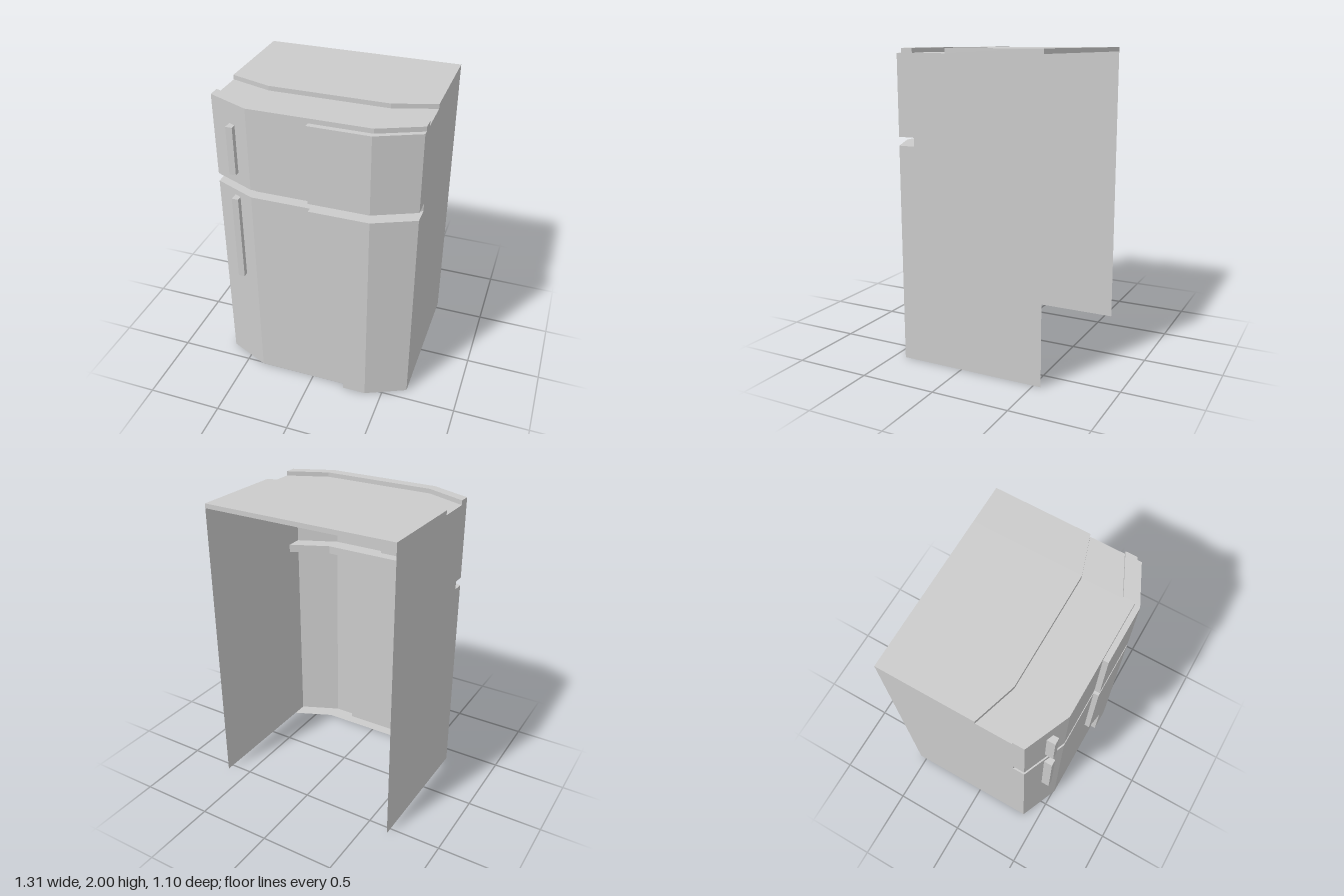
import * as THREE from 'three';
import { mergeGeometries } from 'three/addons/utils/BufferGeometryUtils.js';

const material = new THREE.MeshStandardMaterial({ color: 0xcccccc, flatShading: true, side: THREE.DoubleSide });

// Half width, bend positions and main heights
const W = 0.655, BEND_L = -0.38, BEND_R = 0.39, BACK = -0.55;
const TOP = 2, STEP = 1.97, GAP_LOW = 1.405, GAP_HIGH = 1.46;
const EDGE = 0.005, EDGE_LOW = 0.235;

// Bowed outlines across the width: [z at the sides, z in the middle]
const REAR = [BACK, BACK], RIDGE = [0.085, 0.17], INNER = [0.313, 0.435], DOOR = [0.39, 0.51], PANEL = [0.423, 0.545];

function depth([side, mid], x) {
  if (x < BEND_L) return THREE.MathUtils.mapLinear(x, -W, BEND_L, side, mid);
  if (x > BEND_R) return THREE.MathUtils.mapLinear(x, BEND_R, W, mid, side);
  return mid;
}

// Bowed line at one height between two x positions
function line(outline, y, x0 = -W, x1 = W) {
  const xs = [x0, ...[BEND_L, BEND_R].filter(b => b > x0 && b < x1), x1];
  return xs.map(x => [x, y, depth(outline, x)]);
}

// Flat-faced strip between two lines of points
function ribbon(a, b) {
  const pos = [];
  for (let i = 0; i + 1 < a.length; i++) {
    pos.push(...a[i], ...a[i + 1], ...b[i + 1], ...a[i], ...b[i + 1], ...b[i]);
  }
  const g = new THREE.BufferGeometry();
  g.setAttribute('position', new THREE.Float32BufferAttribute(pos, 3));
  g.computeVertexNormals();
  return g;
}

const toShape = pts => new THREE.Shape(pts.map(p => new THREE.Vector2(...p)));
const rect = (x0, y0, x1, y1) => [[x0, y0], [x1, y0], [x1, y1], [x0, y1]];

// Polygon in x and y laid onto a bowed outline, with an optional opening
function sheet(outline, pts, hole) {
  const shape = toShape(pts);
  if (hole) shape.holes.push(toShape(hole));
  const g = new THREE.ShapeGeometry(shape);
  const p = g.attributes.position;
  for (let i = 0; i < p.count; i++) p.setZ(i, depth(outline, p.getX(i)));
  const flat = g.toNonIndexed();
  flat.deleteAttribute('uv');
  flat.computeVertexNormals();
  return flat;
}

export function createModel() {
  const model = new THREE.Group();
  model.name = 'refrigerator';
  const add = (name, ...geos) => {
    const mesh = new THREE.Mesh(geos.length > 1 ? mergeGeometries(geos) : geos[0], material);
    mesh.name = name;
    model.add(mesh);
  };

  // Side walls, notched at the door gap and the top groove
  for (const s of [1, -1]) {
    const front = s > 0 ? PANEL[0] : DOOR[0];
    const pts = [
      [BACK, 0], [front, 0], [front, GAP_LOW], [INNER[0], GAP_LOW], [INNER[0], GAP_HIGH], [front, GAP_HIGH],
      [front, STEP], [DOOR[0], STEP], [DOOR[0], TOP], [INNER[0], TOP], [INNER[0], STEP],
      [RIDGE[0], STEP], [RIDGE[0], TOP], [BACK, TOP],
    ].map(([z, y]) => [-s * z, y]);
    const wall = new THREE.ShapeGeometry(toShape(pts));
    wall.rotateY(s * Math.PI / 2).translate(s * W, 0, 0);
    add(s > 0 ? 'leftWall' : 'rightWall', wall);
  }

  // Top: rear cover, groove and the lip above the door
  const rearLine = [-W, BEND_L, BEND_R, W].map(x => [x, TOP, BACK]);
  add('topCover', ribbon(line(RIDGE, TOP), rearLine), ribbon(line(RIDGE, STEP), line(RIDGE, TOP)));
  add('topGroove', ribbon(line(INNER, STEP), line(RIDGE, STEP)), ribbon(line(INNER, TOP), line(INNER, STEP)));
  add('topLip', ribbon(line(DOOR, TOP), line(INNER, TOP)));
  add('rearRail', ribbon(line(REAR, TOP), line(REAR, STEP)));

  // Doors: plain side with handle openings
  const handles = [
    { name: 'freezerHandle', y0: 1.54, y1: 1.86 },
    { name: 'fridgeHandle', y0: 0.765, y1: 1.365 },
  ];
  const HX0 = -0.517, HX1 = -0.474, HZ = 0.505;
  const openings = handles.map(h => rect(HX0, h.y0, HX1, h.y1));
  add('freezerDoor',
    sheet(DOOR, rect(-W, GAP_HIGH, BEND_L, TOP), openings[0]),
    sheet(DOOR, rect(BEND_L, GAP_HIGH, EDGE, TOP)),
    ribbon(line(DOOR, STEP, EDGE), line(DOOR, TOP, EDGE)));
  add('fridgeDoor',
    sheet(DOOR, rect(-W, 0, BEND_L, GAP_LOW), openings[1]),
    sheet(DOOR, [[BEND_L, 0], [EDGE_LOW, 0], [EDGE_LOW, 0.36], [EDGE, 0.71], [EDGE, GAP_LOW], [BEND_L, GAP_LOW]]));

  // Raised panels with their step edges
  const edge = (outline, pts) => pts.map(([x, y]) => [x, y, depth(outline, x)]);
  const upperEdge = [[EDGE, STEP], [EDGE, GAP_HIGH]];
  const lowerEdge = [[EDGE, GAP_LOW], [EDGE, 0.71], [EDGE_LOW, 0.36], [EDGE_LOW, 0]];
  add('freezerPanel',
    ribbon(line(PANEL, GAP_HIGH, EDGE), line(PANEL, STEP, EDGE)),
    ribbon(line(PANEL, STEP, EDGE), line(DOOR, STEP, EDGE)),
    ribbon(edge(DOOR, upperEdge), edge(PANEL, upperEdge)));
  add('fridgePanel',
    sheet(PANEL, [...lowerEdge, [BEND_R, 0], [BEND_R, GAP_LOW]]),
    sheet(PANEL, rect(BEND_R, 0, W, GAP_LOW)),
    ribbon(edge(DOOR, lowerEdge), edge(PANEL, lowerEdge)));

  // Shelves behind the doors: gap floor, gap ceiling and bottom rim
  const shelf = (y, split, up) => [[DOOR, -W, split], [PANEL, split, W]].map(([o, x0, x1]) => {
    const front = line(o, y, x0, x1), back = line(INNER, y, x0, x1);
    return up ? ribbon(front, back) : ribbon(back, front);
  });
  add('doorGap',
    ...shelf(GAP_LOW, EDGE, true), ...shelf(GAP_HIGH, EDGE, false),
    ribbon(line(INNER, GAP_LOW), line(INNER, GAP_HIGH)));
  add('bottomRim', ...shelf(0, EDGE_LOW, false));

  // Handles: hollow bars whose back follows the slanted door
  for (const { name, y0, y1 } of handles) {
    const bar = new THREE.BoxGeometry(HX1 - HX0, y1 - y0, 0.1);
    bar.translate((HX0 + HX1) / 2, (y0 + y1) / 2, HZ - 0.05);
    const p = bar.attributes.position;
    for (let i = 0; i < p.count; i++) if (p.getZ(i) < HZ - 0.05) p.setZ(i, depth(DOOR, p.getX(i)));
    bar.setIndex([...bar.index.array].slice(0, 30)); // leave the back open
    bar.clearGroups();
    add(name, bar);
  }
  return model;
}
